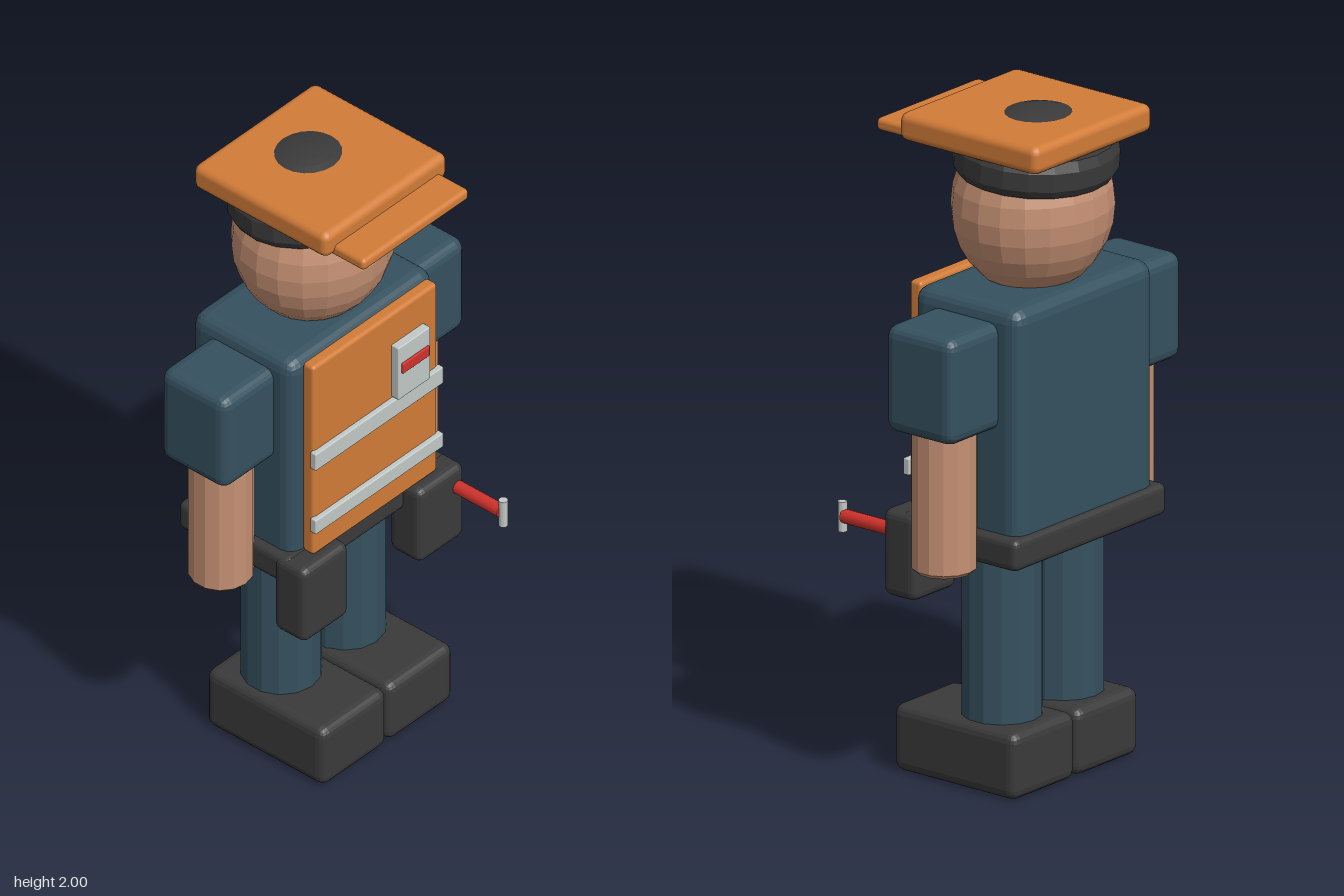
import * as THREE from 'three';
import { RoundedBoxGeometry } from 'three/addons/geometries/RoundedBoxGeometry.js';

const mat = (name, color, flatShading = false) => {
  const m = new THREE.MeshStandardMaterial({ color, flatShading });
  m.name = name;
  return m;
};

export function createModel() {
  const root = new THREE.Group();
  root.name = 'worker';

  const navy = mat('navy cloth', 0x35515f);
  const orange = mat('orange', 0xd27c38);
  const skin = mat('skin', 0xc59073);
  const black = mat('black leather', 0x3a3a3a);
  const silver = mat('silver', 0xc2c9c7);
  const red = mat('red', 0xd0322c);
  for (const m of [navy, skin, black]) m.flatShading = true;

  const add = (name, geometry, material, x, y, z) => {
    const mesh = new THREE.Mesh(geometry, material);
    mesh.name = name;
    mesh.position.set(x, y, z);
    root.add(mesh);
    return mesh;
  };
  // Box given by its [min, max] along each axis, with rounded edges
  const box = (name, material, [x0, x1], [y0, y1], [z0, z1], r) =>
    add(name, new RoundedBoxGeometry(x1 - x0, y1 - y0, z1 - z0, 2, r), material,
      (x0 + x1) / 2, (y0 + y1) / 2, (z0 + z1) / 2);
  // Upright limb with a small bevel at both ends
  const limb = (name, material, r, y0, y1, x, z) => {
    const b = 0.012;
    const profile = [[0, y0], [r - b, y0], [r, y0 + b], [r, y1 - b], [r - b, y1], [0, y1]];
    return add(name, new THREE.LatheGeometry(profile.map(p => new THREE.Vector2(...p)), 14), material, x, 0, z);
  };

  // Torso and belt
  box('torso', navy, [-0.31, 0.31], [0.71, 1.495], [-0.307, 0.087], 0.045);
  box('belt', black, [-0.34, 0.34], [0.72, 0.815], [-0.325, 0.102], 0.02);

  // Arms, legs, boots and pouches on both sides
  for (const [side, s] of [['left', 1], ['right', -1]]) {
    const span = (a, b) => (s > 0 ? [a, b] : [-b, -a]);
    box(side + 'Sleeve', navy, span(0.27, 0.52), [1.125, 1.447], [-0.235, 0.017], 0.035);
    limb(side + 'Forearm', skin, 0.095, 0.7, 1.16, s * 0.397, -0.107);
    limb(side + 'Leg', navy, 0.118, 0.17, 0.76, s * 0.138, -0.107);
    box(side + 'Boot', black, span(0.002, 0.282), [0, 0.202], [-0.272, 0.182], 0.03);
    box(side + 'Pouch', black, span(0.15, 0.346), [0.55, 0.812], [0.045, 0.167], 0.025);
  }

  // Vest panel with reflective stripes and badge
  box('vest', orange, [-0.267, 0.267], [0.81, 1.49], [0.087, 0.131], 0.012);
  for (const [y0, y1] of [[0.9, 0.95], [1.13, 1.19]])
    box('reflectiveStripe', silver, [-0.275, 0.275], [y0, y1], [0.125, 0.147], 0.004);
  box('badge', silver, [0.068, 0.206], [1.193, 1.38], [0.125, 0.158], 0.004);
  box('badgeBar', red, [0.08, 0.196], [1.285, 1.32], [0.156, 0.165], 0.003);

  // Head
  add('head', new THREE.SphereGeometry(1, 20, 14), skin, 0, 1.705, -0.107).scale.set(0.247, 0.262, 0.23);

  // Tilted hat band
  const bandProfile = [[0.2, -0.05], [0.235, -0.055], [0.25, -0.03], [0.25, 0.025], [0.235, 0.055], [0, 0.06]];
  const band = add('hatBand', new THREE.LatheGeometry(bandProfile.map(p => new THREE.Vector2(...p)), 20),
    black, 0, 1.862, -0.12);
  band.scale.z = 0.935;
  band.rotation.x = -0.08;

  // Crown dome showing through the flat hat top
  const dome = add('hatCrown', new THREE.SphereGeometry(1, 20, 12, 0, Math.PI * 2, 0, Math.PI / 2), black, 0, 1.89, -0.127);
  dome.scale.set(0.2, 0.11, 0.19);
  box('hatTop', orange, [-0.264, 0.264], [1.9, 1.985], [-0.337, 0.176], 0.025);
  box('visor', orange, [-0.228, 0.228], [1.897, 1.935], [0.06, 0.288], 0.014);

  // Hammer sticking out of the left pouch
  const handle = add('hammerHandle', new THREE.CylinderGeometry(0.021, 0.021, 0.19, 12), red, 0.312, 0.743, 0.24);
  handle.rotation.x = Math.PI / 2;
  add('hammerHead', new THREE.CylinderGeometry(0.014, 0.014, 0.09, 10), silver, 0.312, 0.741, 0.341);

  return root;
}
